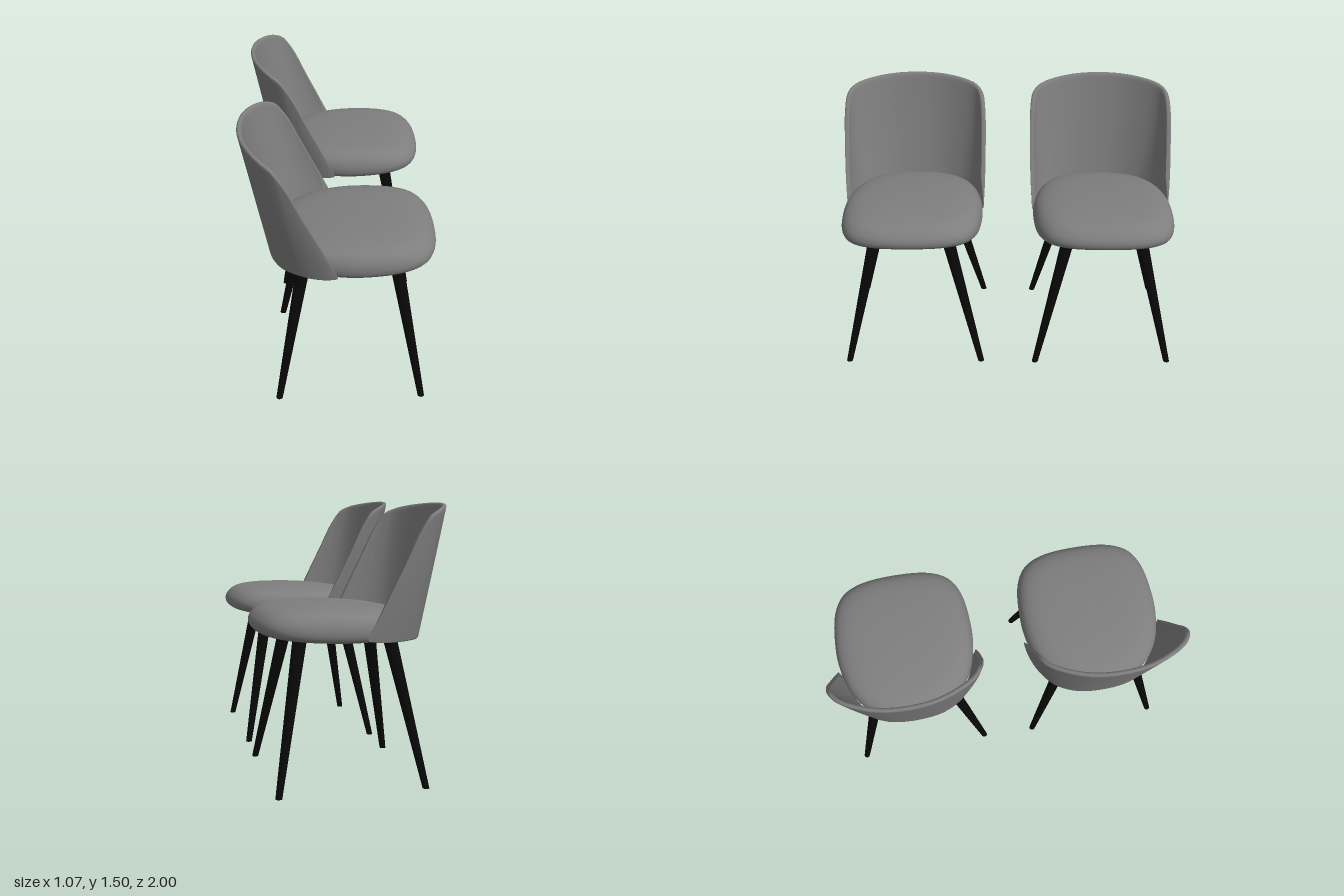
import * as THREE from 'three';

const fabric = new THREE.MeshStandardMaterial({ color: 0x7e7e7e });
const black = new THREE.MeshStandardMaterial({ color: 0x080808 });
const V = (x, y, z) => new THREE.Vector3(x, y, z);

// Smooth surface through rows of points; each row is a closed loop
function loft(rows) {
  const n = rows[0].length, index = [];
  for (let i = 0; i < rows.length - 1; i++) {
    for (let j = 0; j < n; j++) {
      const k = (j + 1) % n, a = i * n, b = a + n;
      index.push(a + j, b + j, b + k, a + j, b + k, a + k);
    }
  }
  const g = new THREE.BufferGeometry().setFromPoints(rows.flat());
  g.setIndex(index);
  g.computeVertexNormals();
  return g;
}

// Mirrors a half curve, given from the middle to the +z end
function mirrored(half) {
  const other = half.slice(1).reverse().map(([x, y, z]) => V(x, y, -z));
  return new THREE.CatmullRomCurve3([...other, ...half.map((p) => V(...p))]);
}

// Cushion: a rounded profile scaled round the plan outline
function seatGeometry() {
  const half = [[0.53, 0], [0.508, 0.22], [0.45, 0.33], [0.345, 0.39], [0.15, 0.415],
    [0, 0.407], [-0.16, 0.362], [-0.275, 0.28], [-0.345, 0.16], [-0.368, 0]];
  const back = half.slice(1, -1).reverse().map(([x, z]) => V(x, 0, -z));
  const outline = new THREE.CatmullRomCurve3([...half.map(([x, z]) => V(x, 0, z)), ...back], true);
  const ring = outline.getPoints(108).slice(0, -1);
  const profile = new THREE.CatmullRomCurve3([[0, 0.787], [0.5, 0.787], [0.85, 0.789], [0.95, 0.794],
    [0.99, 0.815], [1, 0.845], [0.985, 0.88], [0.94, 0.914], [0.85, 0.94], [0.7, 0.957],
    [0.4, 0.968], [0, 0.972]].map(([s, y]) => V(s, y, 0))).getPoints(44);
  return loft(profile.map(({ x: s, y }) => ring.map((p) => {
    const x = 0.1 + (p.x - 0.1) * s;
    const upper = Math.max(0, (y - 0.85) / 0.12), lower = Math.max(0, (0.91 - y) / 0.12);
    const lift = 0.035 * Math.max(0, x / 0.53) ** 2 * lower;
    const dip = 0.1 * Math.max(0, 0.25 - x) ** 2 * upper;
    return V(x, y + lift - dip, p.z * s);
  })));
}

// Backrest: a thin wrap-around wall between a bottom curve and a sloping rim
function backrestGeometry() {
  const bottom = mirrored([[-0.388, 0.785, 0], [-0.37, 0.785, 0.16], [-0.315, 0.785, 0.275],
    [-0.27, 0.786, 0.32], [-0.22, 0.787, 0.355], [-0.165, 0.788, 0.383], [-0.1, 0.791, 0.405],
    [-0.055, 0.796, 0.414], [-0.02, 0.802, 0.418]]);
  const rim = mirrored([[-0.535, 1.505, 0], [-0.515, 1.5, 0.17], [-0.455, 1.485, 0.315],
    [-0.405, 1.468, 0.382], [-0.35, 1.44, 0.416], [-0.285, 1.355, 0.43], [-0.19, 1.165, 0.432],
    [-0.1, 0.985, 0.428], [-0.015, 0.815, 0.418]]);
  const at = (s, v) => {
    const a = bottom.getPoint(s), b = rim.getPoint(s), p = a.clone().lerp(b, v);
    p.z = a.z + (b.z - a.z) * v * (1.6 - 0.6 * v);
    return p;
  };
  // Section as [height fraction, depth fraction]
  const wall = [0, 0.01, 0.15, 0.3, 0.45, 0.6, 0.75, 0.88, 0.96, 0.985];
  const section = [...wall.map((v) => [v, 0]), [0.997, 0.2], [1, 0.5], [0.997, 0.8],
    ...wall.slice().reverse().map((v) => [v, 1])];
  const rows = [], N = 128;
  for (let i = 0; i <= N; i++) {
    const s = i / N;
    const thick = 0.026 * Math.min(1, 16 * Math.min(s, 1 - s));
    rows.push(section.map(([v, d]) => {
      const t = at(Math.min(1, s + 0.005), v).sub(at(Math.max(0, s - 0.005), v));
      const inward = V(t.z, 0, -t.x).normalize();
      return at(s, v).addScaledVector(inward, thick * d);
    }));
  }
  return loft(rows);
}

// Tapered leg, slanted so that both ends stay level
function legGeometry(top, foot) {
  const h = top.y - foot.y;
  const g = new THREE.CylinderGeometry(0.039, 0.018, h, 20);
  const slant = new THREE.Matrix4().set(
    1, (top.x - foot.x) / h, 0, (top.x + foot.x) / 2,
    0, 1, 0, (top.y + foot.y) / 2,
    0, (top.z - foot.z) / h, 1, (top.z + foot.z) / 2,
    0, 0, 0, 1);
  return g.applyMatrix4(slant);
}

function createChair() {
  const chair = new THREE.Group();
  const add = (name, geometry, material) => {
    const mesh = new THREE.Mesh(geometry, material);
    mesh.name = name;
    chair.add(mesh);
  };
  add('seat', seatGeometry(), fabric);
  add('backrest', backrestGeometry(), fabric);
  for (const side of [-1, 1]) {
    add('frontLeg', legGeometry(V(0.298, 0.81, side * 0.205), V(0.452, 0, side * 0.402)), black);
    add('backLeg', legGeometry(V(-0.187, 0.81, side * 0.205), V(-0.343, 0, side * 0.402)), black);
  }
  return chair;
}

export function createModel() {
  const model = new THREE.Group();
  model.name = 'chairPair';
  // Two matching chairs side by side, both facing +x
  for (const side of [-1, 1]) {
    const chair = createChair();
    chair.name = side < 0 ? 'rearChair' : 'frontChair';
    chair.position.set(-0.005 * side, 0, 0.567 * side);
    model.add(chair);
  }
  return model;
}
